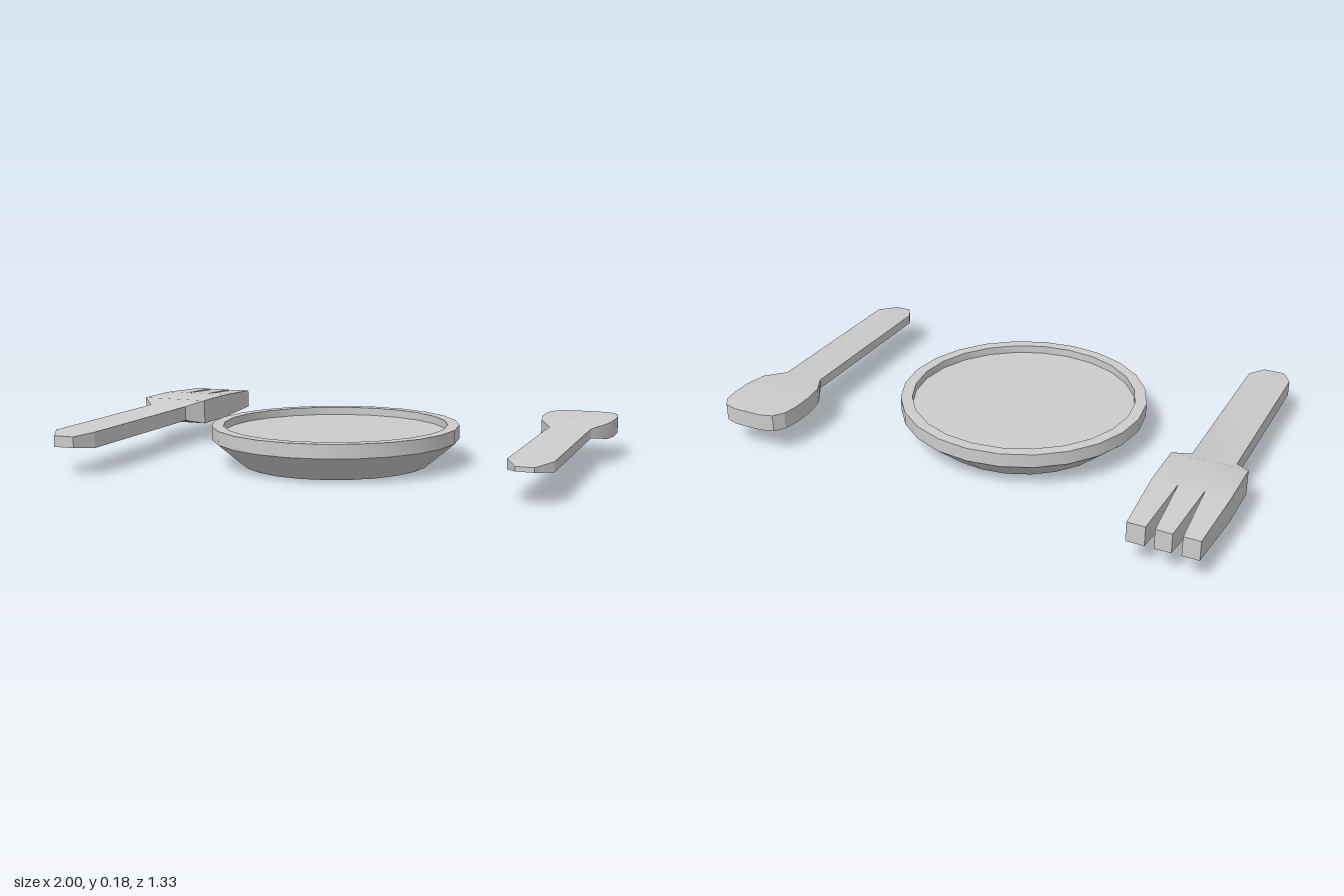
import * as THREE from 'three';
import { toCreasedNormals } from 'three/addons/utils/BufferGeometryUtils.js';

const material = new THREE.MeshStandardMaterial({ color: 0xcccccc });

function addMesh(parent, name, geometry) {
  const mesh = new THREE.Mesh(toCreasedNormals(geometry, 0.4), material);
  mesh.name = name;
  parent.add(mesh);
  return mesh;
}

// Rectangular sections [z, x0, x1, y0, y1], listed from +z to -z
function loft(sections, capStart = true, capEnd = true) {
  const positions = [];
  const index = [];
  for (const [z, x0, x1, y0, y1] of sections) {
    positions.push(x0, y0, z, x1, y0, z, x1, y1, z, x0, y1, z);
  }
  for (let i = 0; i < sections.length - 1; i++) {
    for (let j = 0; j < 4; j++) {
      const a = i * 4 + j;
      const b = i * 4 + (j + 1) % 4;
      index.push(a, a + 4, b + 4, a, b + 4, b);
    }
  }
  const e = (sections.length - 1) * 4;
  if (capStart) index.push(0, 1, 2, 0, 2, 3);
  if (capEnd) index.push(e, e + 2, e + 1, e, e + 3, e + 2);
  const geometry = new THREE.BufferGeometry();
  geometry.setAttribute('position', new THREE.Float32BufferAttribute(positions, 3));
  geometry.setIndex(index);
  return geometry;
}

function createPlate() {
  // Flat base, sloped underside, upright rim and shallow recess
  const profile = [
    [0, 0], [0.367, 0], [0.485, 0.1], [0.485, 0.153],
    [0.44, 0.153], [0.44, 0.122], [0, 0.122],
  ].map(([r, y]) => new THREE.Vector2(r, y));
  const group = new THREE.Group();
  group.name = 'plate';
  addMesh(group, 'plateDish', new THREE.LatheGeometry(profile, 24));
  group.position.set(-0.022, 0, 0.035);
  return group;
}

function createFork() {
  const group = new THREE.Group();
  group.name = 'fork';
  // Handle, shoulders and palm
  addMesh(group, 'forkHandle', loft([
    [0.663, -0.9, -0.817, 0.108, 0.15],
    [0.583, -0.942, -0.775, 0.098, 0.158],
    [-0.135, -0.942, -0.775, 0.098, 0.158],
    [-0.195, -1, -0.715, 0.08, 0.179],
    [-0.39, -1, -0.715, 0.08, 0.179],
  ], true, false));
  // Three tapering tines: root left, root right, tip left, tip right
  const tines = [
    [-1, -0.906, -0.985, -0.923],
    [-0.906, -0.81, -0.888, -0.828],
    [-0.81, -0.715, -0.795, -0.728],
  ];
  for (const [r0, r1, t0, t1] of tines) {
    addMesh(group, 'forkTine', loft([
      [-0.39, r0, r1, 0.08, 0.179],
      [-0.665, t0, t1, 0.09, 0.165],
    ], false, true));
  }
  return group;
}

function createSpoon() {
  const group = new THREE.Group();
  group.name = 'spoon';
  // Handle running into the rounded bowl
  addMesh(group, 'spoonBody', loft([
    [0.583, 0.82, 0.885, 0.12, 0.137],
    [0.505, 0.775, 0.935, 0.11, 0.147],
    [-0.21, 0.775, 0.935, 0.11, 0.147],
    [-0.3, 0.725, 0.988, 0.098, 0.159],
    [-0.385, 0.711, 1, 0.096, 0.162],
    [-0.47, 0.711, 1, 0.096, 0.162],
    [-0.53, 0.722, 0.992, 0.096, 0.162],
    [-0.568, 0.75, 0.965, 0.096, 0.162],
    [-0.583, 0.8, 0.915, 0.096, 0.162],
  ]));
  return group;
}

export function createModel() {
  const model = new THREE.Group();
  model.name = 'tableSetting';
  model.add(createPlate(), createFork(), createSpoon());
  return model;
}
